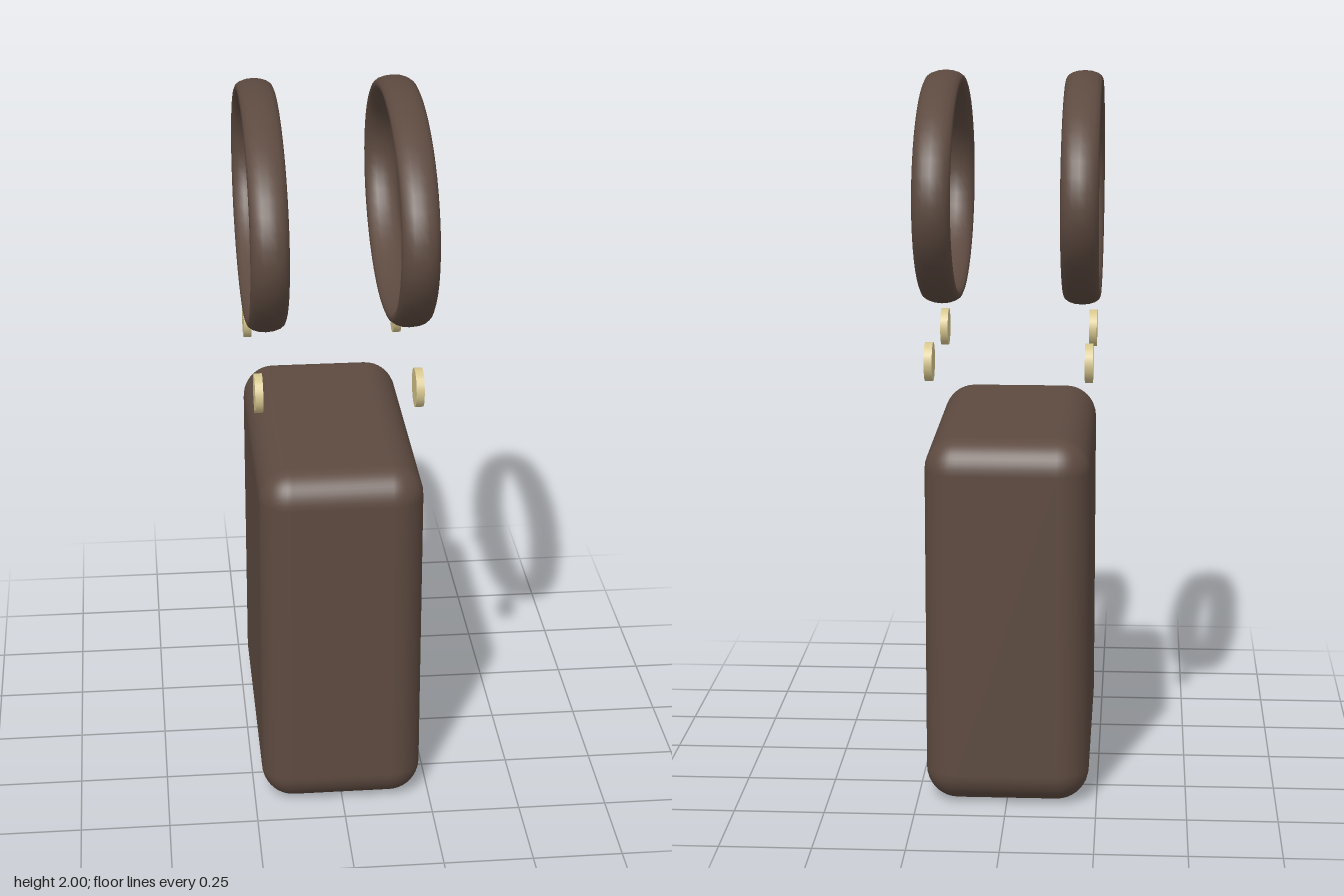
import * as THREE from 'three';
import { RoundedBoxGeometry } from 'three/addons/geometries/RoundedBoxGeometry.js';

const brown = new THREE.MeshStandardMaterial({ color: 0x5d4a40 });
const brass = new THREE.MeshStandardMaterial({ color: 0xd6c68e });

export function createModel() {
  const model = new THREE.Group();
  const add = (name, geometry, material, x, y, z) => {
    const mesh = new THREE.Mesh(geometry, material);
    mesh.name = name;
    mesh.position.set(x, y, z);
    model.add(mesh);
  };

  // Bag body with softly rounded edges
  add('body', new RoundedBoxGeometry(0.455, 1.035, 0.87, 5, 0.09), brown, 0, 0.5175, 0);

  // Oval handle: a torus stretched in depth, its section widened sideways
  const tube = 0.0785;
  const handle = new THREE.TorusGeometry(1, tube, 16, 48);
  handle.rotateY(Math.PI / 2);
  handle.scale(0.051 / tube, 0.3225 / (1 + tube), 0.5 / (1 + tube));

  // Round stud facing sideways
  const stud = new THREE.CylinderGeometry(0.054, 0.054, 0.022, 24);
  stud.rotateZ(Math.PI / 2);

  // One handle and two studs on each side
  for (const side of [1, -1]) {
    const label = side > 0 ? 'left' : 'right';
    add(label + 'Handle', handle, brown, side * 0.195, 1.6775, 0);
    for (const end of [1, -1]) {
      add(label + (end > 0 ? 'Front' : 'Back') + 'Stud', stud, brass, side * 0.219, 1.228, end * 0.268);
    }
  }
  return model;
}
